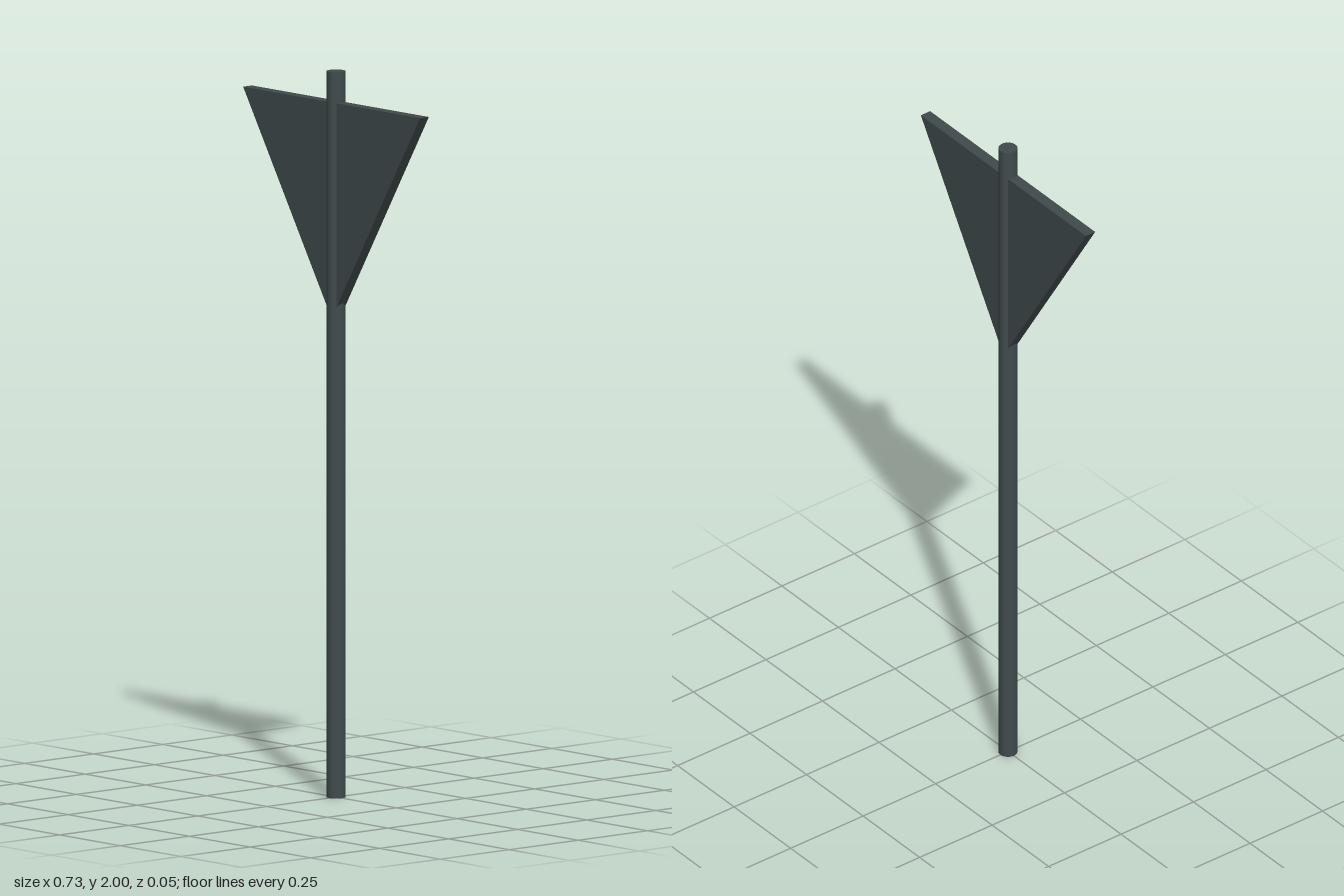
import * as THREE from 'three';

export function createModel() {
  const group = new THREE.Group();
  const darkGrey = new THREE.MeshStandardMaterial({ color: 0x414b4c });
  darkGrey.name = 'darkGrey';

  // Round pole, full height
  const pole = new THREE.Mesh(new THREE.CylinderGeometry(0.026, 0.026, 2, 32), darkGrey);
  pole.name = 'pole';
  pole.position.y = 1;
  group.add(pole);

  // Triangular panel pointing down, centred on the pole
  const depth = 0.032;
  const outline = new THREE.Shape([
    new THREE.Vector2(-0.365, 1.915),
    new THREE.Vector2(0, 1.32),
    new THREE.Vector2(0.365, 1.915),
  ]);
  const panelGeometry = new THREE.ExtrudeGeometry(outline, { depth, bevelEnabled: false });
  panelGeometry.translate(0, 0, -depth / 2);
  const panel = new THREE.Mesh(panelGeometry, darkGrey);
  panel.name = 'trianglePanel';
  group.add(panel);

  return group;
}
